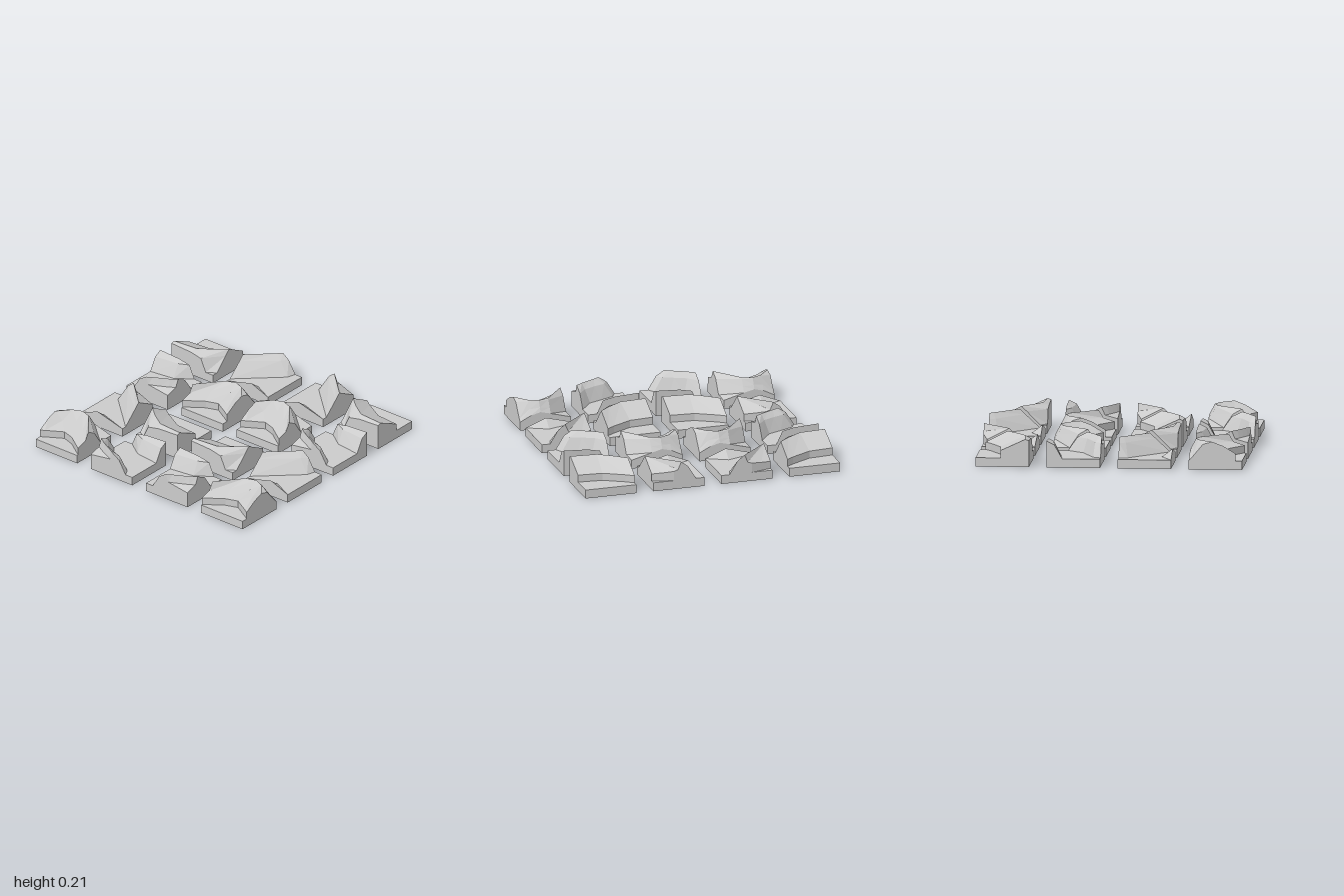
import * as THREE from 'three';

const SIZE = 75, K = 0.4 / SIZE;   // plan units per tile, and their scale
const F = 6.7, W = 12.3;           // heights of floor and ledge, in hundredths

// A row of points [u, v, height]; one shared height for all
const row = (h, ...pts) => pts.map(([u, v]) => [u, v, h]);

// Outer bend: floor behind, ledge wall, long slope, ridge, steep drop to the corner
const bendWall = [[0, 35], [35, 32], [64, 16], [75, 8]];
const bend = [
  row(F, [0, 0], [35, 0], [64, 0], [75, 0]),
  row(F, ...bendWall),
  row(W, ...bendWall),
  row(21, [0, 70], [38, 67], [60, 52], [75, 39]),
  [[0, 75, 20], [35, 75, 19], [53, 75, 17], [75, 47, 17]],
  [[0, 75, 20], [35, 75, 19], [62, 75, F], [75, 66, F]],
  [[0, 75, 20], [35, 75, 19], [62, 75, F], [75, 75, F]],
];

// Diagonal cliff: rows run outward from the back left corner
const diagonal = [
  row(F, [0, 0], [0, 0], [0, 0]),
  row(F, [0, 8], [15, 4], [30, 0]),
  [[0, 8, W], [15, 4, 13], [30, 0, 14]],
  [[0, 36, 20], [32, 4, 16], [36, 0, 15]],
  row(21, [0, 39], [36, 5], [41, 0]),
  row(17, [0, 47], [44, 9], [51, 0]),
  row(F, [0, 68], [59, 13], [63, 0]),
  row(F, [0, 75], [75, 75], [75, 0]),
];
// Small rise at the front of the diagonal tile
const mound = [
  row(F, [0, 75], [45, 60], [75, 75]),
  [[0, 75, F], [45, 75, 13], [75, 75, F]],
];

// Valley: cliff foot along the back, floor, second cliff across the front corner
const foot = [[18, 64], [38, 55], [57, 47], [75, 24]];
const valley = [
  [[0, 0, 20], [35, 0, 19], [53, 0, 17], [62, 0, F], [75, 0, F]],
  [[0, 11, 17], [38, 7, 17], [53, 0, 17], [62, 0, F], [75, 0, F]],
  row(F, [0, 22], [38, 17], [62, 0], [62, 0], [75, 0]),
  row(F, [0, 75], ...foot),
  row(F, [12, 75], ...foot),
  row(17, [24, 75], [30, 66], [46, 60], [63, 52], [75, 37]),
  row(21, [36, 75], [44, 70], [54, 65], [65, 59], [75, 52]),
  row(15, [40, 75], [47, 72], [57, 67], [67, 62], [75, 57]),
  row(W, [75, 75], [75, 75], [75, 75], [75, 75], [75, 75]),
];

// Spur: arched ridge that falls to a ledge wall and floor in front
const spurWall = [[0, 73], [27, 54], [45, 48], [69, 62], [75, 66]];
const spur = [
  [[0, 0, F], [30, 0, 11], [45, 0, 13], [59, 0, 11], [75, 0, F]],
  [[0, 24, F], [30, 5, 15], [45, 3, 16], [59, 6, 15], [75, 4, F + 2]],
  [[0, 37, 17], [30, 11, 20], [45, 7, 20], [59, 12, 20], [75, 20, 19]],
  row(21, [0, 50], [30, 13], [45, 8], [59, 14], [75, 33]),
  [[0, 57, 15], [22, 36, 16], [45, 22, 16], [60, 34, 16], [75, 48, 18]],
  row(W, ...spurWall),
  row(F, ...spurWall),
  row(F, [0, 75], [27, 75], [45, 75], [69, 75], [75, 75]),
];

// Surface through the rows, with sides down to the ground and a bottom
function tileGeometry(rows, flip) {
  const pos = [];
  const s = flip ? -1 : 1;
  const P = ([u, v, h]) =>
    new THREE.Vector3(s * (u - SIZE / 2) * K, h / 100, (v - SIZE / 2) * K);
  const tri = (a, b, c) => {
    const [p, q, r] = [a, b, c].map(P);
    const area = q.clone().sub(p).cross(r.clone().sub(p)).length();
    if (area < 1e-8) return;
    for (const w of flip ? [p, r, q] : [p, q, r]) pos.push(w.x, w.y, w.z);
  };
  const n = rows.length - 1, m = rows[0].length - 1;
  for (let i = 0; i < n; i++) {
    for (let j = 0; j < m; j++) {
      const a = rows[i][j], b = rows[i][j + 1], c = rows[i + 1][j], d = rows[i + 1][j + 1];
      tri(a, c, b);
      tri(b, c, d);
    }
  }
  // Border loop: back, right, front, left
  const loop = [
    ...rows[0],
    ...rows.slice(1).map((r) => r[m]),
    ...rows[n].slice(0, m).reverse(),
    ...rows.slice(1, n).reverse().map((r) => r[0]),
  ];
  const ground = ([u, v]) => [u, v, 0];
  loop.forEach((p, i) => {
    const q = loop[(i + 1) % loop.length];
    tri(p, q, ground(q));
    tri(p, ground(q), ground(p));
  });
  if (rows !== mound) {
    tri([0, 0, 0], [75, 0, 0], [75, 75, 0]);
    tri([0, 0, 0], [75, 75, 0], [0, 75, 0]);
  }
  const geo = new THREE.BufferGeometry();
  geo.setAttribute('position', new THREE.Float32BufferAttribute(pos, 3));
  geo.computeVertexNormals();
  return geo;
}

export function createModel() {
  const model = new THREE.Group();
  model.name = 'cliffTiles';
  const material = new THREE.MeshStandardMaterial({
    color: 0xcccccc, flatShading: true, side: THREE.DoubleSide,
  });
  const tile = (name, parts, x, z, flip) => {
    const group = new THREE.Group();
    group.name = name;
    for (const rows of parts) {
      const mesh = new THREE.Mesh(tileGeometry(rows, flip), material);
      mesh.name = rows === mound ? 'mound' : name + 'Ground';
      group.add(mesh);
    }
    group.position.set(x, 0, z);
    model.add(group);
  };

  // Each half is mirrored in x; the front half swaps its columns
  const OUT = 0.8, IN = 0.267;
  for (const side of [-1, 1]) {
    const right = side > 0;
    tile('bendTile', [bend], side * OUT, -OUT, right);
    tile('diagonalTile', [diagonal, mound], side * IN, -OUT, right);
    tile('valleyTile', [valley], side * OUT, -IN, right);
    tile('spurTile', [spur], side * IN, -IN, right);
    tile('diagonalTile', [diagonal, mound], side * OUT, IN, !right);
    tile('bendTile', [bend], side * IN, IN, !right);
    tile('spurTile', [spur], side * OUT, OUT, !right);
    tile('valleyTile', [valley], side * IN, OUT, !right);
  }
  return model;
}
